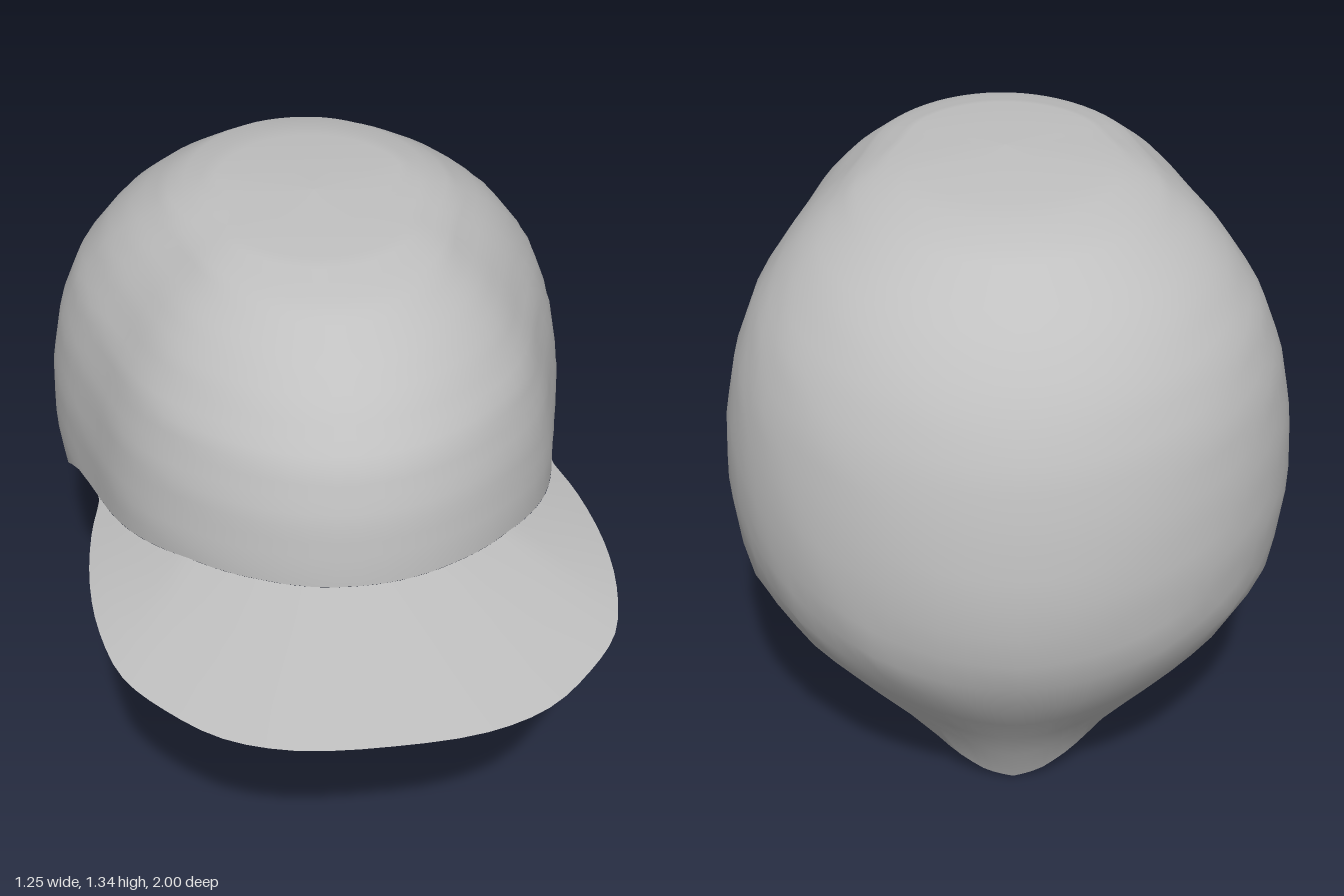
import * as THREE from 'three';

// Horizontal sections of the crown: [y, front z, back z, half width, centre z]
const SECTIONS = [
  [0.00, 0.30, -0.69, 0.25, -0.35],
  [0.07, 0.33, -0.725, 0.28, -0.35],
  [0.14, 0.36, -0.76, 0.31, -0.35],
  [0.24, 0.42, -0.84, 0.42, -0.35],
  [0.36, 0.47, -0.93, 0.53, -0.35],
  [0.48, 0.52, -0.985, 0.605, -0.35],
  [0.65, 0.56, -1.00, 0.63, -0.35],
  [0.80, 0.568, -0.985, 0.625, -0.35],
  [0.94, 0.55, -0.955, 0.60, -0.35],
  [1.06, 0.51, -0.90, 0.555, -0.34],
  [1.16, 0.43, -0.825, 0.485, -0.32],
  [1.22, 0.36, -0.75, 0.425, -0.30],
  [1.29, 0.24, -0.64, 0.33, -0.26],
  [1.325, 0.08, -0.47, 0.235, -0.22],
  [1.335, -0.20, -0.20, 0.0, -0.20],
];

// Height of the crown's lower edge by angle: 0 is the front, PI the back
const RIM = [
  [0, 0.785], [0.35, 0.782], [0.62, 0.768], [0.93, 0.72], [1.18, 0.68], [1.34, 0.655],
  [1.57, 0.515], [1.65, 0.47], [1.9, 0.36], [1.95, 0.31], [2.1, 0.24],
  [2.39, 0.14], [2.67, 0.065], [2.9, 0.02], [Math.PI, 0],
];

const TOP = 1.335;

// Linear lookup in a table sorted by its first column
function lookup(table, key) {
  let i = 1;
  while (i < table.length - 1 && table[i][0] < key) i++;
  const a = table[i - 1], b = table[i];
  const t = THREE.MathUtils.clamp((key - a[0]) / (b[0] - a[0]), 0, 1);
  return a.map((v, k) => v + (b[k] - v) * t);
}

const rimHeight = (angle) => lookup(RIM, Math.abs(angle))[1];

// Egg-shaped section with a slight pinch at the temples
function crownPoint(angle, y) {
  const [, front, back, width, centre] = lookup(SECTIONS, y);
  const c = Math.cos(angle);
  const pinch = 1 - 0.05 * Math.exp(-(((Math.abs(angle) - 1.2) / 0.25) ** 2));
  const z = centre + c * (c > 0 ? front - centre : centre - back);
  return new THREE.Vector3(width * Math.sin(angle) * pinch, y, z);
}

// Smooth sheet from a rule giving the point at column i, row j
function sheet(columns, rows, point, closed) {
  const positions = [], index = [];
  const count = closed ? columns : columns + 1;
  for (let j = 0; j <= rows; j++) {
    for (let i = 0; i < count; i++) positions.push(...point(i / columns, j / rows).toArray());
  }
  for (let j = 0; j < rows; j++) {
    for (let i = 0; i < columns; i++) {
      const a = j * count + i, b = j * count + ((i + 1) % count);
      index.push(a, b, a + count, b, b + count, a + count);
    }
  }
  const geometry = new THREE.BufferGeometry();
  geometry.setAttribute('position', new THREE.Float32BufferAttribute(positions, 3));
  geometry.setIndex(index);
  geometry.computeVertexNormals();
  return geometry;
}

export function createModel() {
  const group = new THREE.Group();
  group.name = 'cap';
  const fabric = new THREE.MeshStandardMaterial({ color: 0xc0c0c0, side: THREE.DoubleSide });
  fabric.name = 'grey fabric';

  // Crown: columns rise from the shaped rim to the flattened top
  const crown = new THREE.Mesh(sheet(72, 26, (u, v) => {
    const angle = (u * 2 - 1) * Math.PI;
    const rim = rimHeight(angle);
    return crownPoint(angle, rim + (TOP - rim) * (1 - (1 - v) ** 1.8));
  }, true), fabric);
  crown.name = 'crown';
  group.add(crown);

  // Brim: a sheet from its rounded outer edge in to the crown's front rim
  const half = [
    [0.2, 0.985, 0.715], [0.34, 0.93, 0.715], [0.45, 0.83, 0.716], [0.53, 0.72, 0.718],
    [0.57, 0.57, 0.72], [0.582, 0.4, 0.715], [0.568, 0.2, 0.702], [0.54, 0.05, 0.69],
  ];
  const right = half.map(([x, z, y]) => new THREE.Vector3(-x, y, z)).reverse();
  const left = half.map(([x, z, y]) => new THREE.Vector3(x, y, z));
  const edge = new THREE.CatmullRomCurve3([...right, new THREE.Vector3(0, 0.715, 1), ...left]);
  const brim = new THREE.Mesh(sheet(48, 4, (u, v) => {
    const angle = (u * 2 - 1) * 1.14;
    return edge.getPoint(u).lerp(crownPoint(angle, rimHeight(angle)), v);
  }, false), fabric);
  brim.name = 'brim';
  group.add(brim);

  return group;
}
